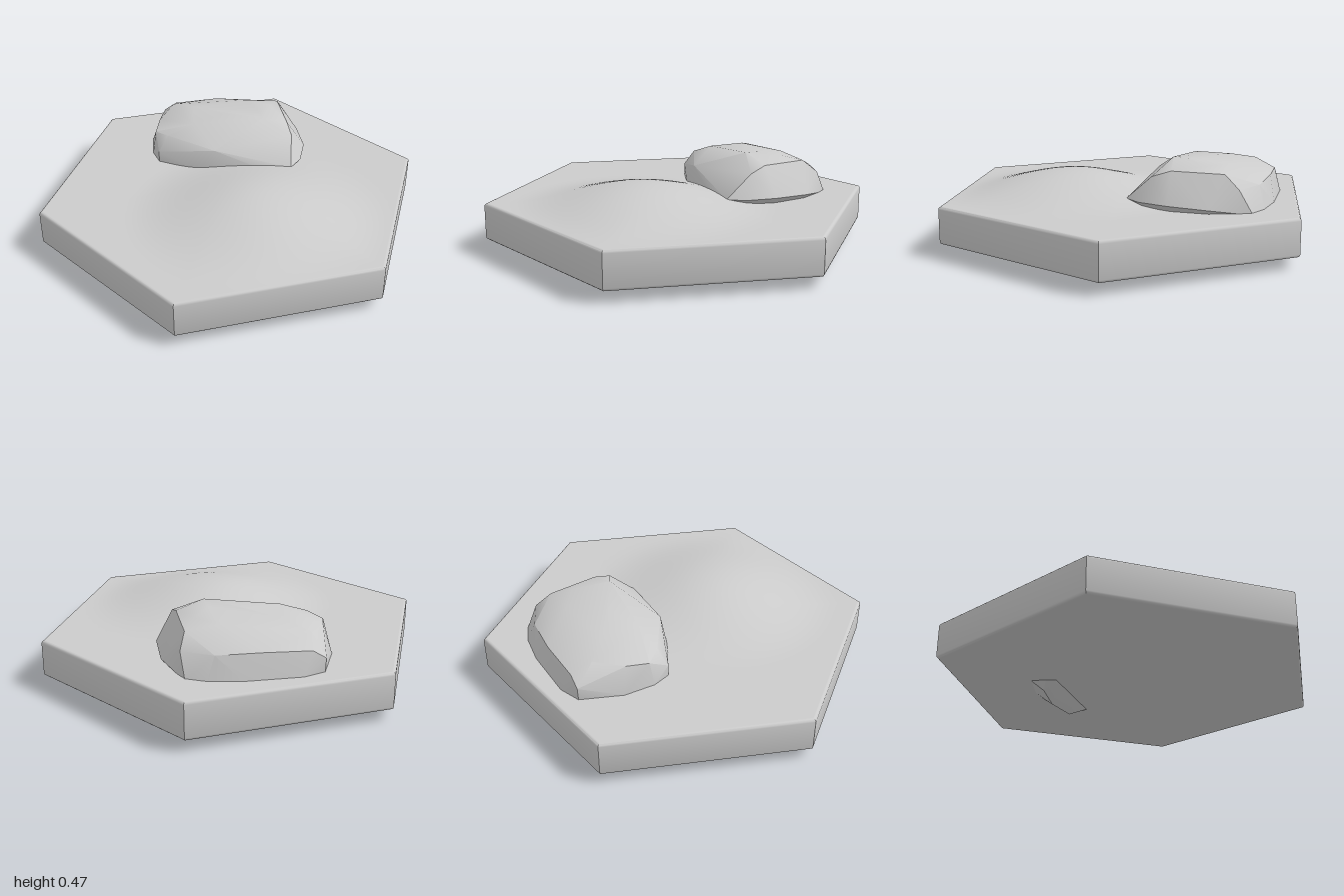
import * as THREE from 'three';
import { toCreasedNormals } from 'three/addons/utils/BufferGeometryUtils.js';
import { ConvexGeometry } from 'three/addons/geometries/ConvexGeometry.js';
import { ParametricGeometry } from 'three/addons/geometries/ParametricGeometry.js';

const BOTTOM = 0.06, TOP = 0.25, BEVEL = 0.015;
const INNER = 1 - BEVEL / Math.cos(Math.PI / 6);

// Distance from the centre to the hexagon's edge at a given angle
function hexRadius(angle) {
  const third = Math.PI / 3;
  const a = angle - Math.floor(angle / third) * third - third / 2;
  return Math.cos(Math.PI / 6) / Math.cos(a);
}

// Gentle mound, fading out towards the rim
function moundHeight(x, z) {
  const dx = (x - 0.27) / (x > 0.27 ? 0.74 : 0.64);
  const dz = (z - 0.1) / 0.67;
  const d = Math.min(1, Math.hypot(dx, dz));
  return 0.11 * Math.cos(d * Math.PI / 2) ** 2;
}

export function createModel() {
  const group = new THREE.Group();
  const material = new THREE.MeshStandardMaterial({ color: 0xcccccc });
  const add = (name, geometry) => {
    const mesh = new THREE.Mesh(geometry, material);
    mesh.name = name;
    group.add(mesh);
  };

  // Hexagonal slab with a small bevel
  const corners = Array.from({ length: 6 }, (_, i) =>
    new THREE.Vector2(INNER * Math.cos(i * Math.PI / 3), INNER * Math.sin(i * Math.PI / 3)));
  const slab = new THREE.ExtrudeGeometry(new THREE.Shape(corners), {
    depth: TOP - BOTTOM - 2 * BEVEL, bevelSize: BEVEL, bevelThickness: BEVEL, bevelSegments: 3,
  });
  slab.rotateX(-Math.PI / 2).translate(0, BOTTOM + BEVEL, 0);
  add('tileBase', toCreasedNormals(slab, 0.6));

  // Rolling ground surface on the slab
  const ground = new ParametricGeometry((u, v, target) => {
    const angle = u * Math.PI * 2;
    const r = v * INNER * hexRadius(angle);
    const x = r * Math.cos(angle), z = r * Math.sin(angle);
    target.set(x, TOP + 0.001 * (1 - v) + moundHeight(x, z) * (1 - v ** 8), z);
  }, 72, 28);
  add('ground', toCreasedNormals(ground, 1));

  // Boulder sunk through the slab: crown, shoulders, waist and underside
  const crown = [
    [-0.10, 0.475, -0.33], [-0.18, 0.467, -0.38], [-0.30, 0.457, -0.25],
    [-0.50, 0.440, -0.20], [-0.36, 0.440, -0.06], [-0.34, 0.445, -0.46],
    [-0.20, 0.450, -0.50], [-0.65, 0.408, -0.18], [-0.24, 0.425, -0.60],
  ];
  const shoulders = [
    [-0.72, 0.36, -0.26], [-0.60, 0.385, -0.03], [-0.53, 0.375, 0.06],
    [-0.43, 0.39, 0.06], [-0.28, 0.36, -0.67], [-0.43, 0.36, -0.60],
    [-0.58, 0.37, -0.45], [-0.03, 0.43, -0.45], [0.05, 0.40, -0.40],
    [-0.16, 0.37, -0.03],
  ];
  const waist = [
    [-0.76, 0.32, -0.21], [-0.755, 0.24, -0.21], [-0.72, 0.25, -0.32],
    [-0.55, 0.25, -0.54], [-0.43, 0.25, -0.65], [-0.34, 0.24, -0.70],
    [-0.13, 0.27, -0.65], [0.03, 0.28, -0.53], [0.12, 0.28, -0.40],
    [0.14, 0.28, -0.30], [0.07, 0.26, -0.21], [-0.22, 0.25, 0.03],
    [-0.44, 0.31, 0.12], [-0.44, 0.23, 0.12], [-0.53, 0.25, 0.085], [-0.65, 0.25, -0.02],
  ];
  const underside = [
    [-0.35, 0.003, -0.26], [-0.22, 0.015, -0.40], [-0.43, 0.02, -0.13],
    [-0.50, 0.06, -0.12], [-0.38, 0.06, -0.07], [-0.12, 0.06, -0.41], [-0.20, 0.06, -0.49],
  ];
  const points = [...crown, ...shoulders, ...waist, ...underside]
    .map((p) => new THREE.Vector3(...p));
  add('boulder', toCreasedNormals(new ConvexGeometry(points), 0.6));

  return group;
}
